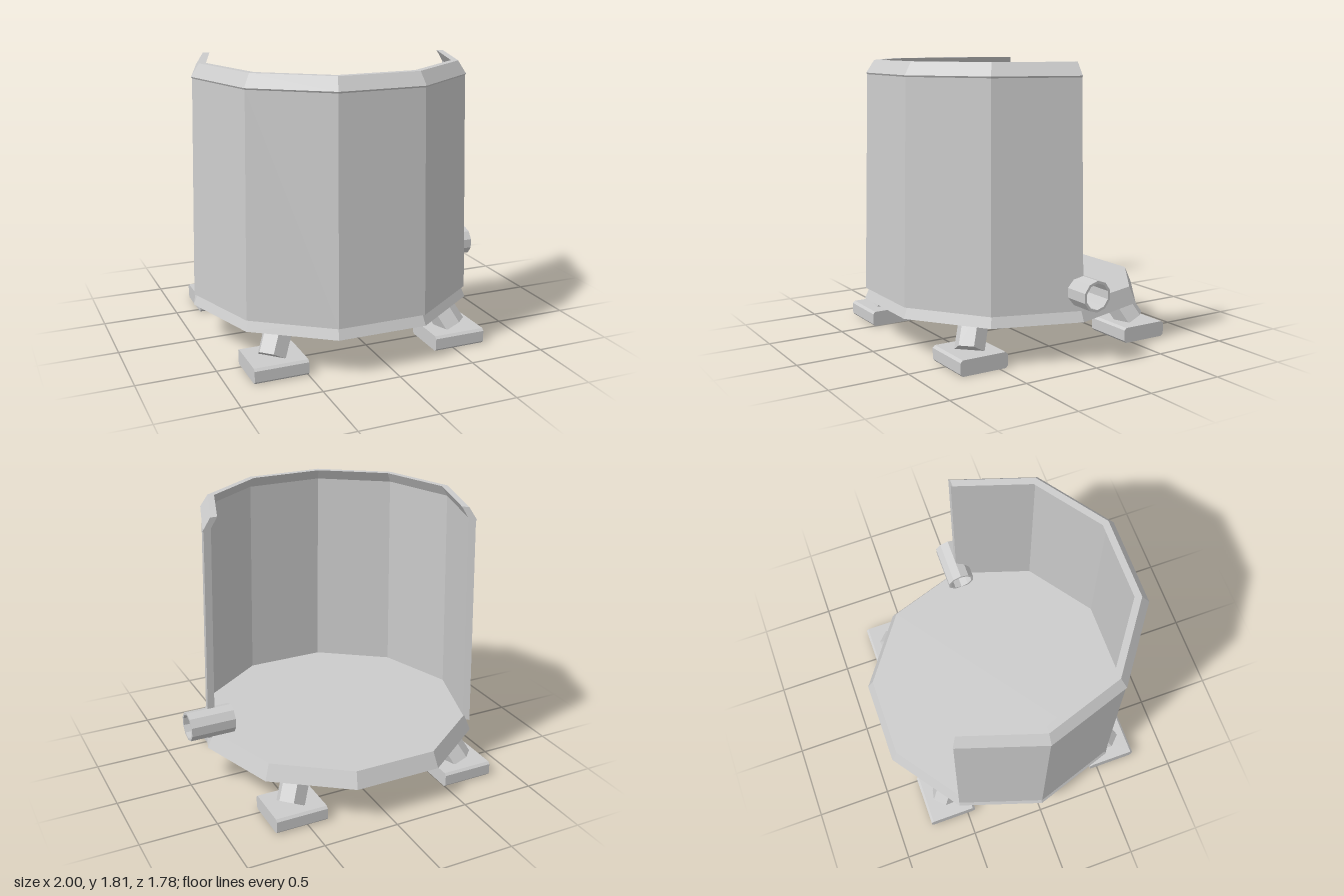
import * as THREE from 'three';

const SIDES = 10;
const DEG = Math.PI / 180;

export function createModel() {
  const grey = new THREE.MeshStandardMaterial({ color: 0xcccccc, side: THREE.DoubleSide, flatShading: true });
  grey.name = 'light grey';

  const model = new THREE.Group();
  model.name = 'openTank';
  const body = new THREE.Group();
  body.name = 'tank';
  body.position.x = -0.065; // the pipe sticks out on +x, so the tank sits off centre
  model.add(body);

  const add = (name, geometry, parent = body) => {
    const mesh = new THREE.Mesh(geometry.index ? geometry.toNonIndexed() : geometry, grey);
    mesh.geometry.computeVertexNormals();
    mesh.name = name;
    parent.add(mesh);
    return mesh;
  };
  const points = (list) => list.map(([x, y]) => new THREE.Vector2(x, y));

  // floor plate with sloped rim
  const floor = new THREE.CylinderGeometry(0.89, 0.935, 0.105, SIDES, 1, false, Math.PI / 2);
  floor.translate(0, 0.3025, 0);
  add('floorPlate', floor);

  // wall around six of the ten sides, with an inward-leaning rim
  const profile = [
    [0.928, 0.32], [0.888, 1.72], [0.894, 1.73], [0.842, 1.81],
    [0.797, 1.81], [0.84, 1.74], [0.882, 0.32],
  ];
  const start = -126 * DEG, sweep = 216 * DEG;
  add('wall', new THREE.LatheGeometry(points([...profile, profile[0]]), 6, start, sweep));
  for (const phi of [start, start + sweep]) {
    const cap = new THREE.ShapeGeometry(new THREE.Shape(points(profile)));
    cap.rotateY(phi - Math.PI / 2);
    add('wallEnd', cap);
  }

  // hollow outlet pipe beside the opening
  const pipe = new THREE.LatheGeometry(
    points([[0.097, 0], [0.097, 0.3], [0.081, 0.3], [0.081, 0], [0.097, 0]]), SIDES);
  pipe.rotateX(-Math.PI / 2).rotateY(-Math.PI / 2).translate(0.765, 0.438, 0);
  add('outletPipe', pipe);

  // four feet with slanted hexagonal legs
  const c = 0.015, w = 0.162, h = 0.1;
  const footShape = new THREE.Shape(points([
    [-w + c, 0], [w - c, 0], [w, c], [w, h - c],
    [w - c, h], [-w + c, h], [-w, h - c], [-w, c],
  ]));
  for (const sx of [-1, 1]) {
    for (const sz of [-1, 1]) {
      const support = new THREE.Group();
      support.name = (sz > 0 ? 'front' : 'back') + (sx > 0 ? 'Left' : 'Right') + 'Support';
      body.add(support);

      const foot = new THREE.ExtrudeGeometry(footShape, { depth: 0.345, bevelEnabled: false });
      foot.translate(0, 0, -0.1725).rotateY(Math.PI / 2).translate(sx * 0.605, 0, sz * 0.607);
      add('foot', foot, support);

      const leg = new THREE.CylinderGeometry(0.095, 0.095, 0.24, 6);
      leg.translate(0, 0.12, 0).rotateZ(35 * DEG).translate(0.877, 0.095, 0);
      leg.rotateY(Math.atan2(-sz, sx));
      add('leg', leg, support);
    }
  }
  return model;
}
